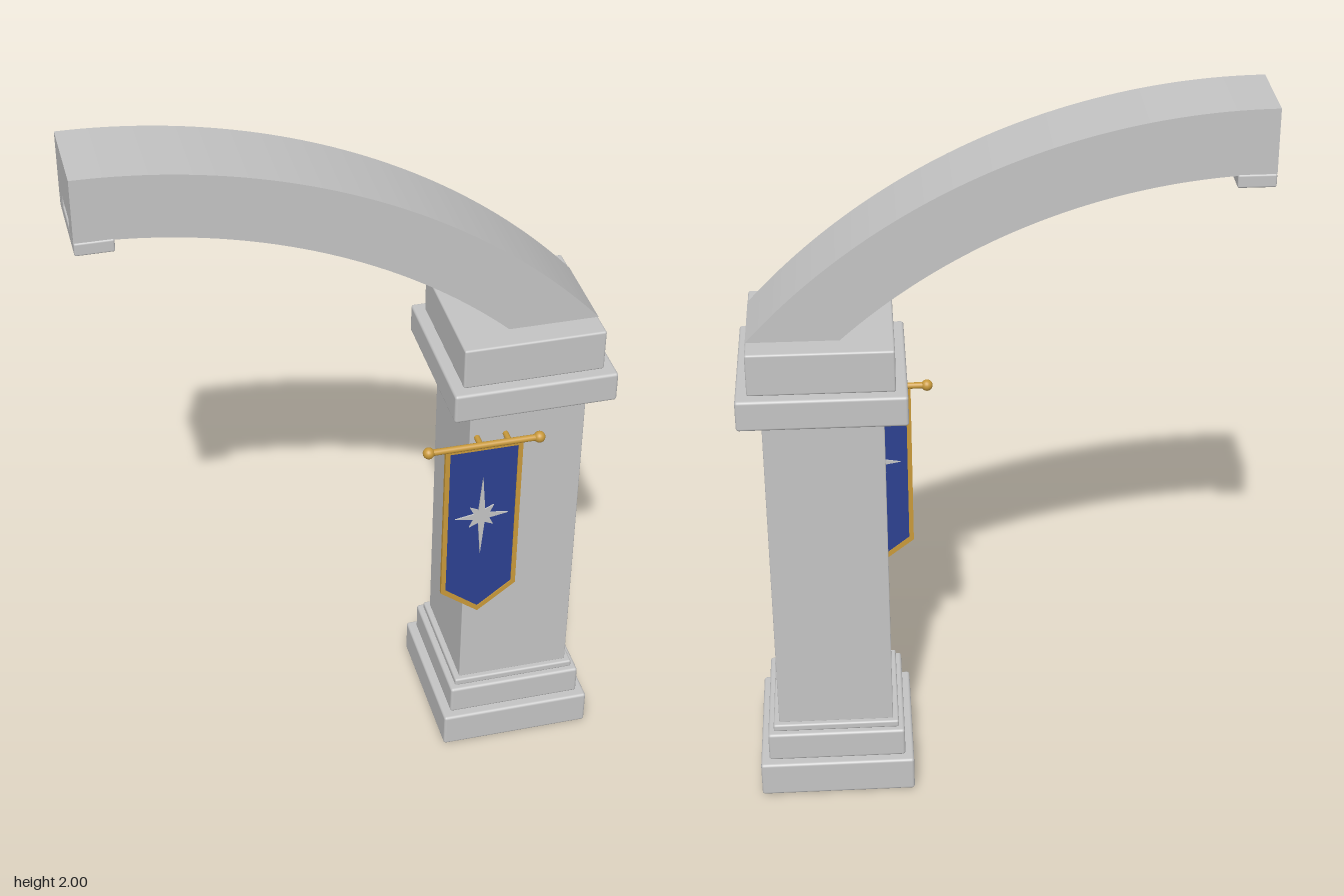
import * as THREE from 'three';
import { RoundedBoxGeometry } from 'three/addons/geometries/RoundedBoxGeometry.js';

const material = (name, color) => {
  const m = new THREE.MeshStandardMaterial({ color });
  m.name = name;
  return m;
};

export function createModel() {
  const stone = material('stone', 0xc4c4c4);
  const gold = material('gold', 0xc8993a);
  const blue = material('blue cloth', 0x2c4190);
  const teal = material('teal inlay', 0x6fb5bf);

  const model = new THREE.Group();
  model.name = 'archHalf';
  const add = (name, geometry, mat, x = 0, y = 0, z = 0, parent = model) => {
    const mesh = new THREE.Mesh(geometry, mat);
    mesh.name = name;
    mesh.position.set(x, y, z);
    parent.add(mesh);
    return mesh;
  };

  // Square column: name, bottom, top, half width, edge radius
  const columnX = 0.467;
  const column = new THREE.Group();
  column.name = 'column';
  model.add(column);
  for (const [name, y0, y1, half, r] of [
    ['base', 0, 0.103, 0.217, 0.008],
    ['plinth', 0.103, 0.19, 0.193, 0.008],
    ['lowerMoulding', 0.19, 0.212, 0.177, 0.006],
    ['shaft', 0.21, 1.172, 0.161, 0.003],
    ['upperMoulding', 1.17, 1.192, 0.173, 0.006],
    ['capital', 1.19, 1.276, 0.224, 0.008],
    ['abacus', 1.276, 1.395, 0.193, 0.006],
  ]) {
    add(name, new RoundedBoxGeometry(half * 2, y1 - y0, half * 2, 3, r), stone, columnX, (y0 + y1) / 2, 0, column);
  }

  // Curved arm: concentric bands, cut level where they meet the abacus
  const cx = -0.7, cy = 0.169, springY = 1.395;
  const inner = 1.657, ceiling = 1.687, outer = 1.831;
  const arcBand = (r0, r1, z0, z1, start = 0) => {
    const steps = 56, points = [];
    const walk = (r, t) => {
      const a = start + (Math.acos((springY - cy) / r) - start) * t;
      points.push(new THREE.Vector2(cx + r * Math.sin(a), cy + r * Math.cos(a)));
    };
    for (let i = 0; i <= steps; i++) walk(r0, i / steps);
    for (let i = steps; i >= 0; i--) walk(r1, i / steps);
    const g = new THREE.ExtrudeGeometry(new THREE.Shape(points), { depth: z1 - z0, bevelEnabled: false });
    return g.translate(0, 0, z0);
  };
  const halfDepth = 0.121, groove = 0.055;
  add('archArm', arcBand(ceiling, outer, -halfDepth, halfDepth), stone);
  add('archRailFront', arcBand(inner, ceiling, groove, halfDepth), stone);
  add('archRailBack', arcBand(inner, ceiling, -halfDepth, -groove), stone);
  add('grooveInlay', arcBand(ceiling - 0.008, ceiling, -groove, groove, 0.05), teal);
  add('endBlock', new RoundedBoxGeometry(0.1, 0.036, 0.248, 2, 0.005), stone, -0.65, 1.808, 0);

  // Hanging banner on a rod
  const banner = new THREE.Group();
  banner.name = 'banner';
  banner.position.set(0.336, 0, 0.198);
  model.add(banner);
  const pennant = (w, top, shoulder, tip) => [[-w, top], [-w, shoulder], [0, tip], [w, shoulder], [w, top]]
    .map(([x, y]) => new THREE.Vector2(x, y));
  const plate = (shape, depth) =>
    new THREE.ExtrudeGeometry(shape, { depth, bevelEnabled: false }).translate(0, 0, -depth / 2);
  const clothOutline = pennant(0.095, 1.072, 0.592, 0.517);
  const border = new THREE.Shape(pennant(0.108, 1.084, 0.584, 0.5));
  border.holes.push(new THREE.Path(clothOutline.slice().reverse()));
  add('bannerBorder', plate(border, 0.012), gold, 0, 0, 0, banner);
  add('bannerCloth', plate(new THREE.Shape(clothOutline), 0.006), blue, 0, 0, 0, banner);

  // Eight-pointed star, showing on both sides of the cloth
  const star = [];
  for (let i = 0; i < 16; i++) {
    const r = i % 2 ? 0.024 : i % 4 ? 0.048 : i % 8 ? 0.133 : 0.075;
    const a = (i * Math.PI) / 8;
    star.push(new THREE.Vector2(r * Math.cos(a), r * Math.sin(a)));
  }
  add('bannerStar', plate(new THREE.Shape(star), 0.014), stone, 0, 0.845, 0, banner);

  // Rod, end balls and wall brackets
  const rodY = 1.085;
  add('rod', new THREE.CylinderGeometry(0.009, 0.009, 0.31, 16).rotateZ(Math.PI / 2), gold, 0, rodY, 0, banner);
  for (const side of [-1, 1]) {
    add('rodBall', new THREE.SphereGeometry(0.016, 20, 14), gold, side * 0.154, rodY, 0, banner);
    add('rodBracket', new THREE.CylinderGeometry(0.008, 0.008, 0.04, 12).rotateX(Math.PI / 2),
      gold, 0.03 + side * 0.04, rodY, -0.02, banner);
  }
  return model;
}
